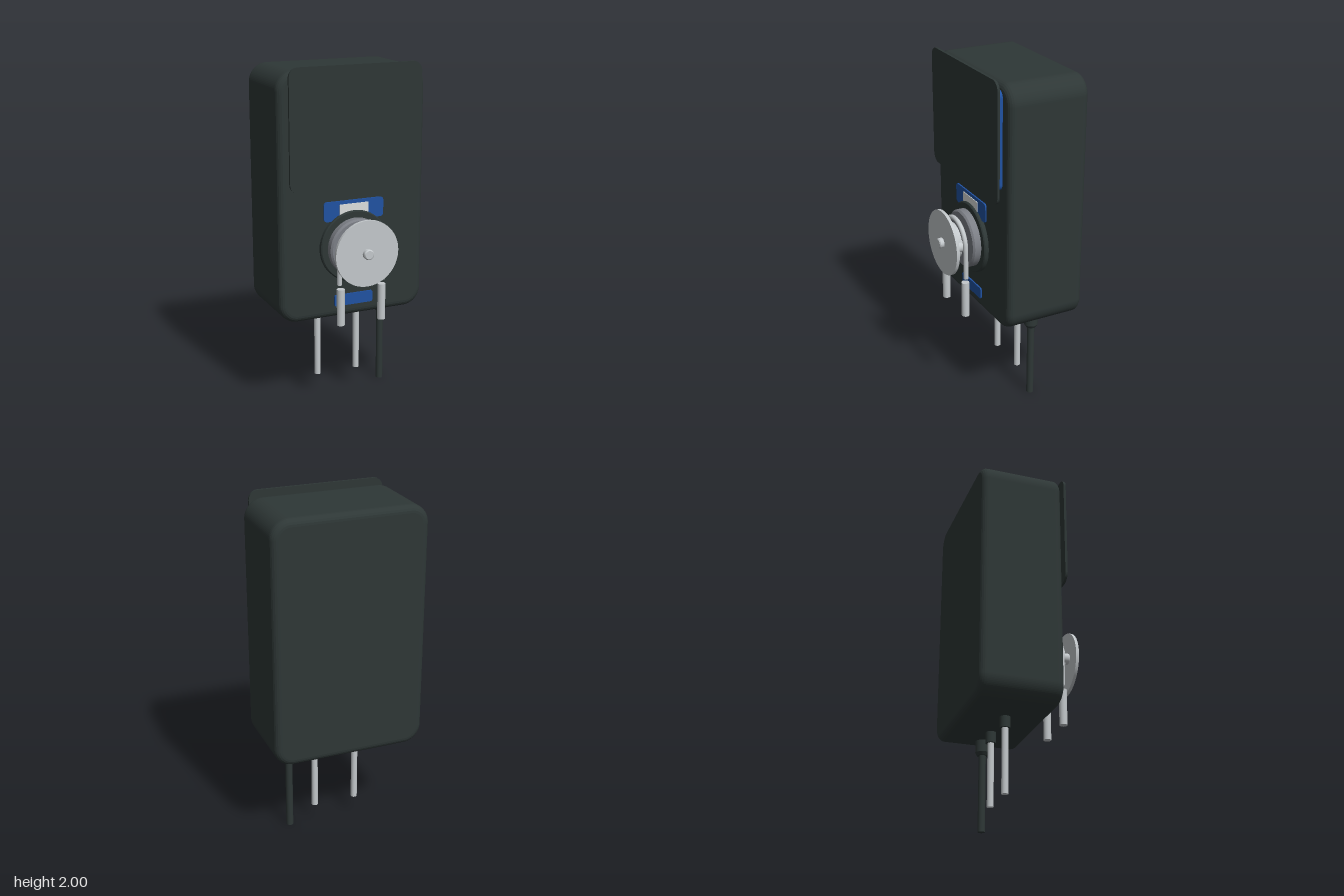
import * as THREE from 'three';

const material = (name, color, side = THREE.FrontSide) => {
  const m = new THREE.MeshStandardMaterial({ color, side });
  m.name = name;
  return m;
};

export function createModel() {
  const dark = material('charcoal', 0x2e3736);
  const blue = material('blue', 0x2052a2);
  const silver = material('silver', 0xc3c8cb);
  const grey = material('grey', 0x7c7f86);
  const white = material('white', 0xdcdedd);

  const group = new THREE.Group();
  group.name = 'dosingPump';
  const headY = 0.965;

  const add = (name, geometry, mat, x = 0, y = 0, z = 0) => {
    const mesh = new THREE.Mesh(geometry, mat);
    mesh.name = name;
    mesh.position.set(x, y, z);
    group.add(mesh);
    return mesh;
  };

  // Rounded plate spanning z0 to z1, with an optional soft bevel
  const plate = (name, mat, w, y0, y1, z0, z1, r, bevel = 0) => {
    const a = w / 2 - bevel, b = (y1 - y0) / 2 - bevel, c = Math.max(r - bevel, 0.001);
    const s = new THREE.Shape();
    s.absarc(a - c, b - c, c, 0, Math.PI / 2);
    s.absarc(-a + c, b - c, c, Math.PI / 2, Math.PI);
    s.absarc(-a + c, -b + c, c, Math.PI, Math.PI * 1.5);
    s.absarc(a - c, -b + c, c, Math.PI * 1.5, Math.PI * 2);
    const g = new THREE.ExtrudeGeometry(s, {
      depth: z1 - z0 - 2 * bevel, curveSegments: 10,
      bevelEnabled: bevel > 0, bevelSize: bevel, bevelThickness: bevel, bevelSegments: 5,
    });
    return add(name, g, mat, 0, (y0 + y1) / 2, z0 + bevel);
  };

  // Round part facing the front, with a small chamfer at its front rim
  const disc = (name, mat, r, z0, z1, x = 0, y = headY, chamfer = 0) => {
    const d = z1 - z0;
    const g = chamfer
      ? new THREE.LatheGeometry([[0, 0], [r, 0], [r, 0], [r, d - chamfer], [r, d - chamfer],
        [r - chamfer, d], [r - chamfer, d], [0, d]].map(p => new THREE.Vector2(...p)), 48)
      : new THREE.CylinderGeometry(r, r, d, 64).translate(0, d / 2, 0);
    g.rotateX(Math.PI / 2);
    return add(name, g, mat, x, y, z0);
  };

  const rod = (name, mat, r, x, y0, y1, z) =>
    add(name, new THREE.CylinderGeometry(r, r, y1 - y0, 24), mat, x, (y0 + y1) / 2, z);

  // Housing and upper display
  plate('housing', dark, 0.9, 0.54, 1.975, -0.35, 0.13, 0.11, 0.04);
  plate('displayBacking', blue, 0.74, 1.38, 1.94, 0.128, 0.15, 0.04, 0.005);
  plate('displayUpperSpacer', dark, 0.42, 1.77, 1.86, 0.149, 0.158, 0.01);
  plate('displayLowerSpacer', dark, 0.24, 1.62, 1.69, 0.149, 0.162, 0.01);
  plate('displayCover', dark, 0.8, 1.31, 2.0, 0.163, 0.177, 0.055);

  // Labels above and below the pump head
  plate('upperLabel', blue, 0.37, 1.12, 1.235, 0.128, 0.139, 0.02);
  plate('labelWindow', white, 0.18, 1.14, 1.215, 0.138, 0.143, 0.004);
  plate('lowerLabel', blue, 0.24, 0.61, 0.678, 0.128, 0.139, 0.01);

  // Pump head
  disc('headRing', dark, 0.21, 0.128, 0.157, 0, headY, 0.006);
  disc('headBase', grey, 0.17, 0.156, 0.205, 0, headY, 0.01);
  disc('rotor', silver, 0.108, 0.245, 0.27);
  disc('rotorHub', silver, 0.025, 0.25, 0.278);
  for (const side of [-1, 1]) disc('roller', silver, 0.033, 0.24, 0.293, side * 0.09, headY, 0.004);
  disc('clearCover', silver, 0.192, 0.302, 0.32);
  disc('coverKnob', silver, 0.03, 0.318, 0.347, 0, headY, 0.006);

  // Hose looping over the rollers
  const loopR = 0.134;
  const points = [new THREE.Vector3(-loopR, 0.775, 0.238), new THREE.Vector3(-loopR, 0.87, 0.238)];
  for (let i = 0; i <= 12; i++) {
    const t = Math.PI * (1 - i / 12);
    points.push(new THREE.Vector3(Math.cos(t) * loopR, headY + Math.sin(t) * loopR, 0.238));
  }
  points.push(new THREE.Vector3(loopR, 0.87, 0.238), new THREE.Vector3(loopR, 0.775, 0.238));
  const hoseMaterial = material('hose silver', 0xc3c8cb, THREE.DoubleSide);
  add('hoseLoop', new THREE.TubeGeometry(new THREE.CatmullRomCurve3(points), 72, 0.014, 12), hoseMaterial);

  // Hose connectors and the pipes under the housing
  for (const side of [-1, 1]) {
    const x = side * 0.128;
    rod('hoseConnector', silver, 0.023, x, 0.535, 0.75, 0.24);
    rod('pipeCollar', dark, 0.03, x, 0.475, 0.56, -0.105);
    rod('pipe', silver, 0.019, x, 0.1, 0.48, -0.105);
  }

  // Power cable
  rod('cableGland', dark, 0.041, 0.29, 0.47, 0.56, -0.105);
  add('glandTaper', new THREE.CylinderGeometry(0.041, 0.03, 0.018, 24), dark, 0.29, 0.461, -0.105);
  rod('cable', dark, 0.021, 0.29, 0, 0.46, -0.105);

  return group;
}
